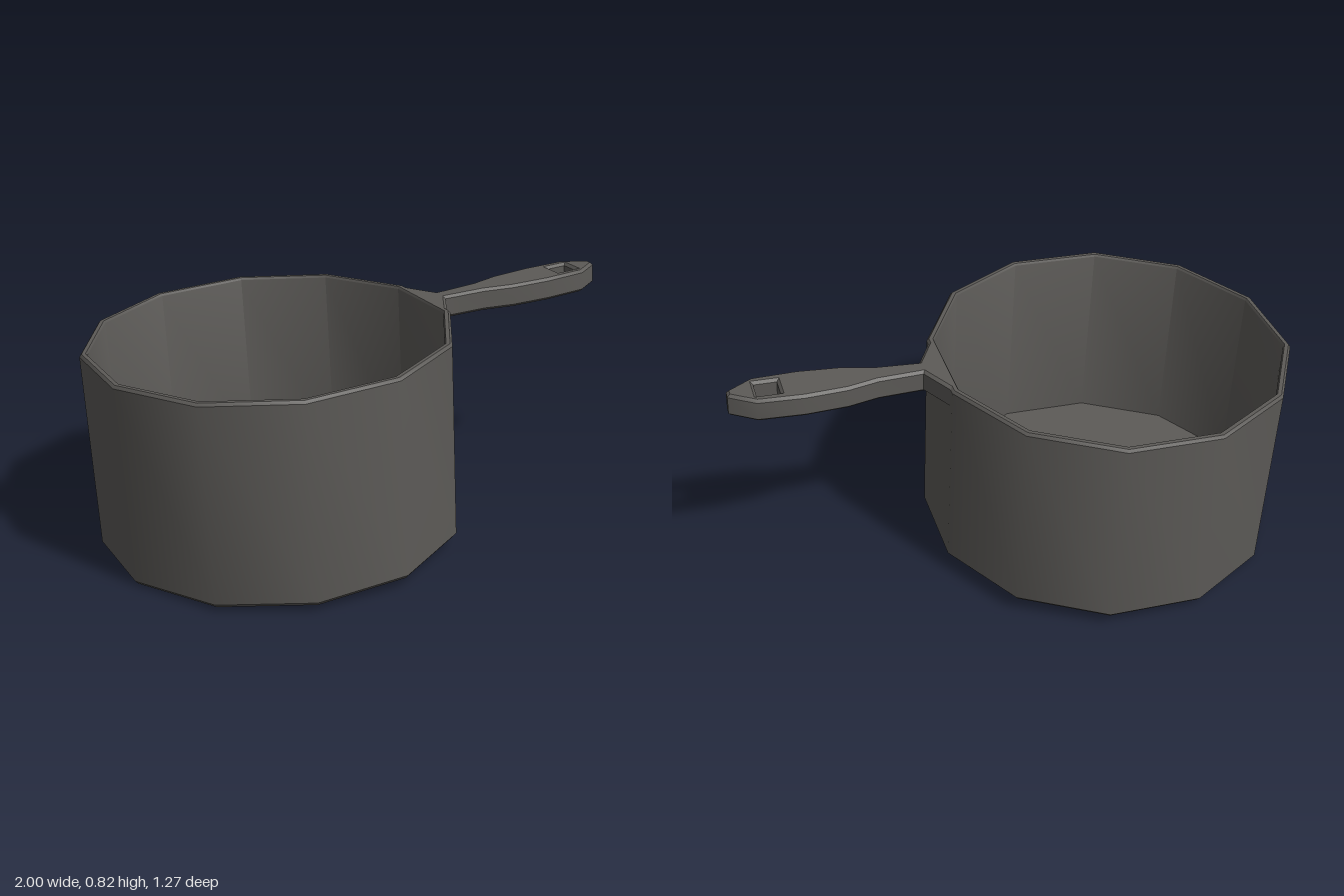
import * as THREE from 'three';
import { toCreasedNormals } from 'three/addons/utils/BufferGeometryUtils.js';

const R = 0.654; // pot corner radius
const H = 0.73;  // pot height
const metal = new THREE.MeshStandardMaterial({ color: 0x5c5a57 });

function part(name, geometry) {
  const mesh = new THREE.Mesh(toCreasedNormals(geometry, 0.6), metal);
  mesh.name = name;
  return mesh;
}

// Twelve-sided pot: outer wall, chamfered rim, inner wall and floor
function createPot() {
  const profile = [
    [0, 0], [R - 0.012, 0], [R, 0.014], [R, H - 0.01], [R - 0.008, H],
    [R - 0.022, H], [R - 0.027, H - 0.008], [R - 0.027, 0.025], [0, 0.025],
  ].map(([r, y]) => new THREE.Vector2(r, y));
  return part('pot', new THREE.LatheGeometry(profile, 12, Math.PI / 12));
}

// Flat handle, flared at the wall, with a square hanging hole near the tip
function createHandle() {
  const halfOutline = [
    [0.612, 0.157], [0.63, 0.15], [0.695, 0.032], [0.855, 0.042],
    [0.965, 0.069], [1.115, 0.08], [1.275, 0.073], [1.365, 0.016],
  ];
  const outline = [
    ...halfOutline.map(([x, w]) => new THREE.Vector2(x, -w)),
    ...halfOutline.slice().reverse().map(([x, w]) => new THREE.Vector2(x, w)),
  ];
  const shape = new THREE.Shape(outline);
  shape.holes.push(new THREE.Path([
    [1.19, -0.038], [1.19, 0.038], [1.27, 0.038], [1.27, -0.038],
  ].map(([x, y]) => new THREE.Vector2(x, y))));

  const bevel = 0.01;
  const thickness = 0.085;
  const geometry = new THREE.ExtrudeGeometry(shape, {
    depth: thickness - 2 * bevel,
    bevelEnabled: true,
    bevelSegments: 1,
    bevelSize: bevel,
    bevelThickness: bevel,
    bevelOffset: -bevel,
  });
  geometry.rotateX(-Math.PI / 2);
  geometry.translate(0, H - thickness + bevel, 0);
  return part('handle', geometry);
}

export function createModel() {
  const saucepan = new THREE.Group();
  saucepan.name = 'saucepan';
  saucepan.add(createPot(), createHandle());
  // The pan rests slightly tilted and turned
  saucepan.rotation.set(0, 0.033, 0.0474, 'ZYX');
  saucepan.position.set(-0.33, 0.035, 0);

  const model = new THREE.Group();
  model.add(saucepan);
  return model;
}
